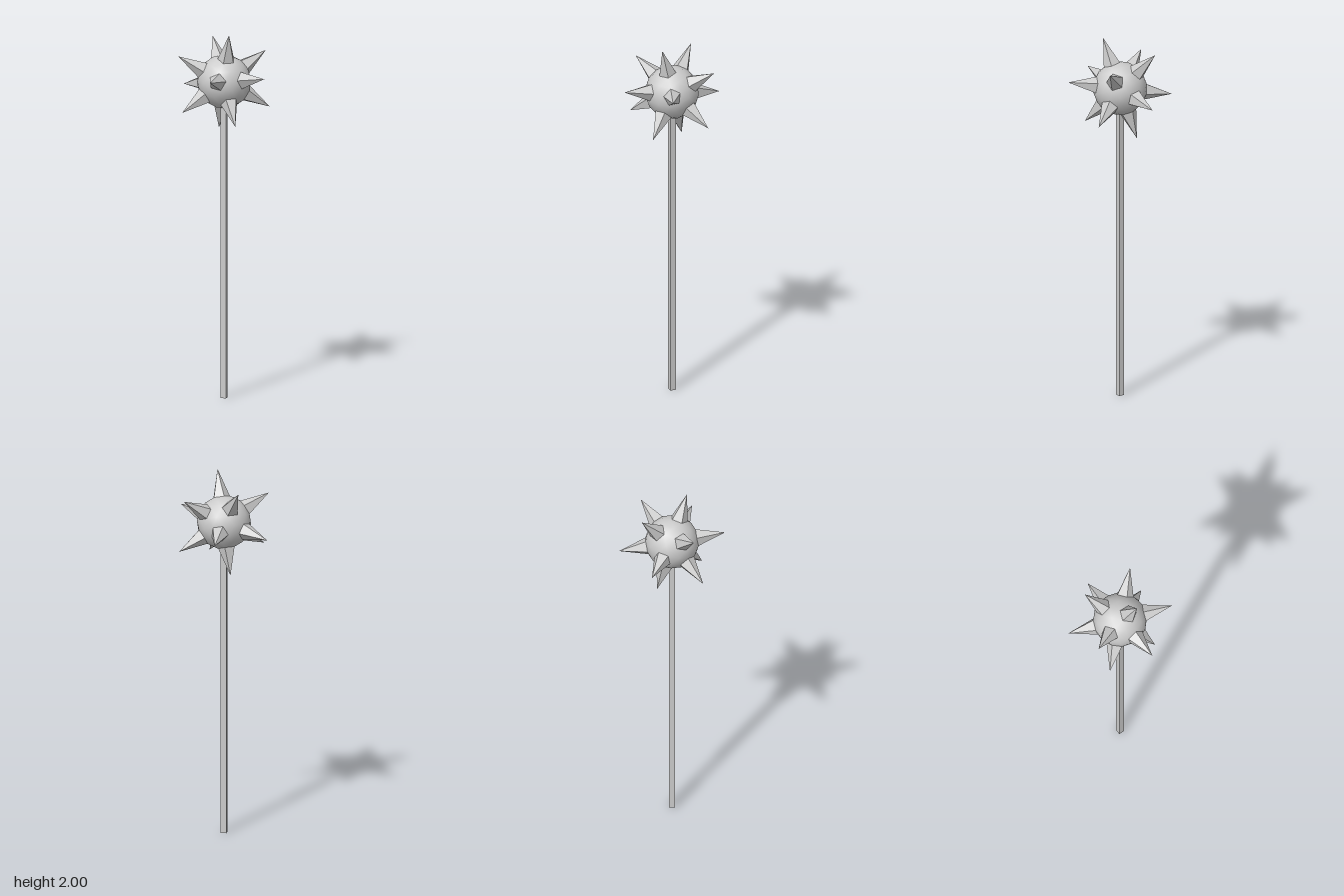
import * as THREE from 'three';

const BALL_Y = 1.73, BALL_R = 0.145, TIP_R = 0.288;
const BASE_R = 0.0485, BASE_D = 0.134; // spike base radius and distance from the ball centre

export function createModel() {
  const group = new THREE.Group();
  group.name = 'spikedMace';
  const smooth = new THREE.MeshStandardMaterial({ color: 0xcccccc });
  const flat = new THREE.MeshStandardMaterial({ color: 0xcccccc, flatShading: true });

  // Square shaft, running from the ground into the ball
  const shaft = new THREE.Mesh(new THREE.BoxGeometry(0.032, 1.64, 0.032), flat);
  shaft.name = 'shaft';
  shaft.position.y = 0.82;
  group.add(shaft);

  // Head: tilted so one spike points up and one points forward
  const up = new THREE.Vector3(0.184, 0.939, 0.28).normalize();
  const front = new THREE.Vector3(0.035, 0.174, 0.984).normalize();
  const yAxis = up.clone().add(front).normalize();
  const zAxis = front.clone().sub(up).cross(yAxis).normalize();
  const xAxis = yAxis.clone().cross(zAxis);
  const head = new THREE.Group();
  head.name = 'head';
  head.quaternion.setFromRotationMatrix(new THREE.Matrix4().makeBasis(xAxis, yAxis, zAxis));
  head.position.y = BALL_Y;
  group.add(head);

  const ball = new THREE.Mesh(new THREE.IcosahedronGeometry(BALL_R, 2), smooth);
  ball.name = 'ball';
  head.add(ball);

  // Twelve spike directions: the corners of an icosahedron
  const t = (1 + Math.sqrt(5)) / 2;
  const dirs = [];
  for (const a of [-1, 1]) for (const b of [-t, t]) {
    dirs.push(new THREE.Vector3(a, b, 0), new THREE.Vector3(0, a, b), new THREE.Vector3(b, 0, a));
  }
  dirs.forEach(d => d.normalize());

  // Five-sided spikes, each base corner turned towards a neighbouring spike
  const height = TIP_R - BASE_D;
  const spikeGeometry = new THREE.ConeGeometry(BASE_R, height, 5, 1, true).translate(0, BASE_D + height / 2, 0);
  dirs.forEach((d, i) => {
    const neighbour = dirs.find(n => Math.abs(n.dot(d) - 1 / Math.sqrt(5)) < 0.01);
    const z = neighbour.clone().addScaledVector(d, -neighbour.dot(d)).normalize();
    const x = d.clone().cross(z);
    const spike = new THREE.Mesh(spikeGeometry, flat);
    spike.name = `spike${i + 1}`;
    spike.quaternion.setFromRotationMatrix(new THREE.Matrix4().makeBasis(x, d, z));
    head.add(spike);
  });

  return group;
}
